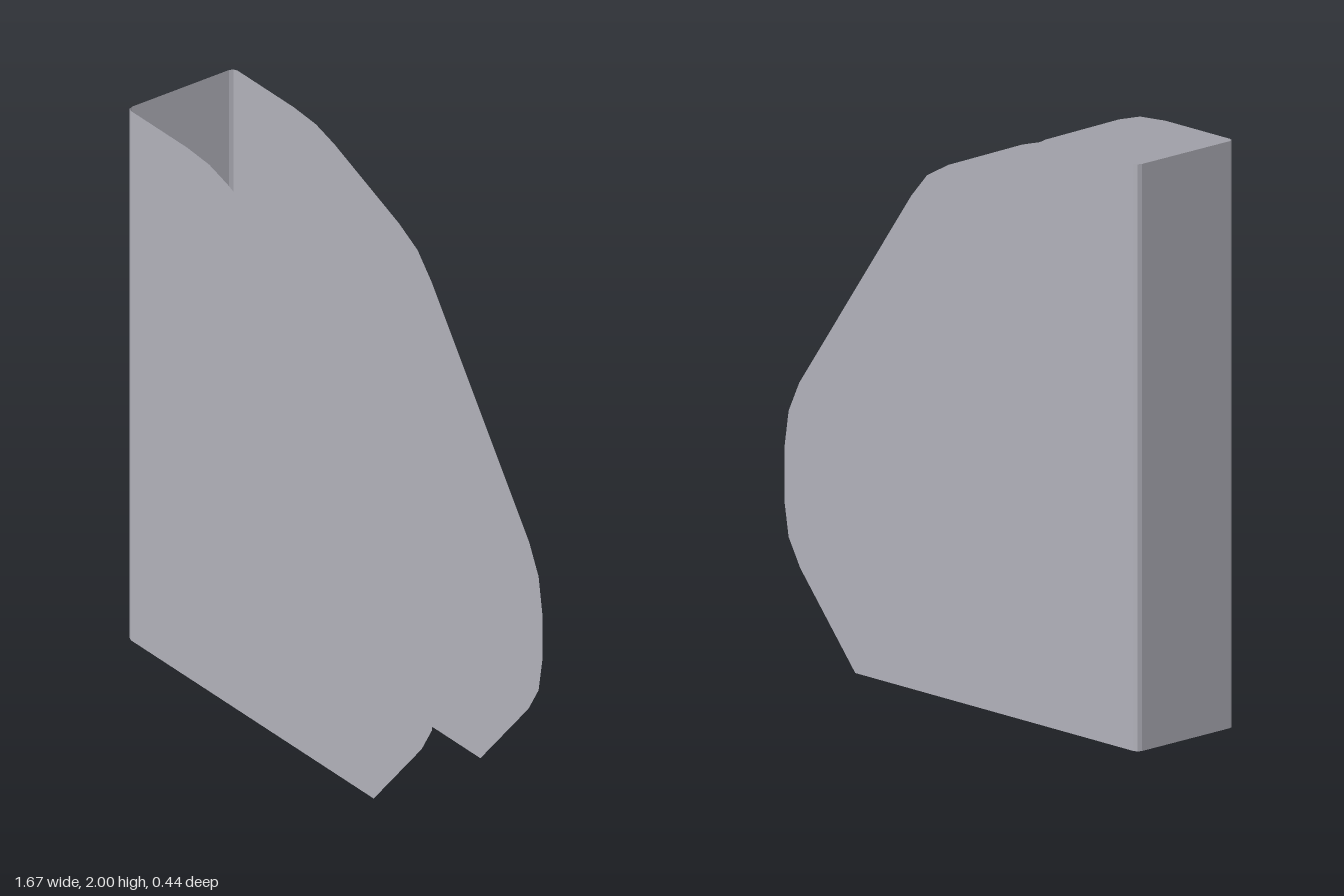
import * as THREE from 'three';

export function createModel() {
  const model = new THREE.Group();
  model.name = 'bentSheetBracket';

  const metal = new THREE.MeshStandardMaterial({ color: 0xb0b0b9, side: THREE.DoubleSide, flatShading: true });
  metal.name = 'grey sheet metal';

  const halfWidth = 0.22, backX = -0.835, bendX = -0.815, height = 2;

  // Side cheek outline with softened corners
  const outline = new THREE.Shape([
    [bendX, 0], [0.5, 0], [0.76, 0.305], [0.815, 0.4], [0.835, 0.52], [0.835, 0.7],
    [0.815, 0.83], [0.765, 0.935], [0.235, 1.68], [0.16, 1.765], [0.06, 1.82],
    [-0.29, 1.96], [-0.39, 1.99], [-0.51, height], [bendX, height],
  ].map(([x, y]) => new THREE.Vector2(x, y)));
  const cheekGeometry = new THREE.ShapeGeometry(outline);

  // Two parallel cheeks, the rear one turned to face outwards
  for (const side of [1, -1]) {
    const cheek = new THREE.Mesh(cheekGeometry.clone(), metal);
    if (side < 0) {
      const index = cheek.geometry.index.array;
      for (let i = 0; i < index.length; i += 3) [index[i], index[i + 1]] = [index[i + 1], index[i]];
      cheek.geometry.computeVertexNormals();
    }
    cheek.position.z = side * halfWidth;
    cheek.name = side > 0 ? 'frontCheek' : 'backCheek';
    model.add(cheek);
  }

  // An upright strip between two plan points (x, z)
  function strip(name, [x0, z0], [x1, z1]) {
    const geometry = new THREE.PlaneGeometry(Math.hypot(x1 - x0, z1 - z0), height);
    geometry.rotateY(-Math.atan2(z1 - z0, x1 - x0));
    geometry.translate((x0 + x1) / 2, height / 2, (z0 + z1) / 2);
    const mesh = new THREE.Mesh(geometry, metal);
    mesh.name = name;
    model.add(mesh);
  }

  // Spine with a small bend along each long edge
  const plan = [
    [backX, -0.2], [backX, 0.2], [-0.829, 0.214], [bendX, halfWidth],
  ];
  strip('spine', plan[0], plan[1]);
  for (let i = 1; i < 3; i++) {
    const [a, b] = [plan[i], plan[i + 1]];
    strip('frontBend', a, b);
    strip('backBend', [b[0], -b[1]], [a[0], -a[1]]);
  }

  return model;
}
